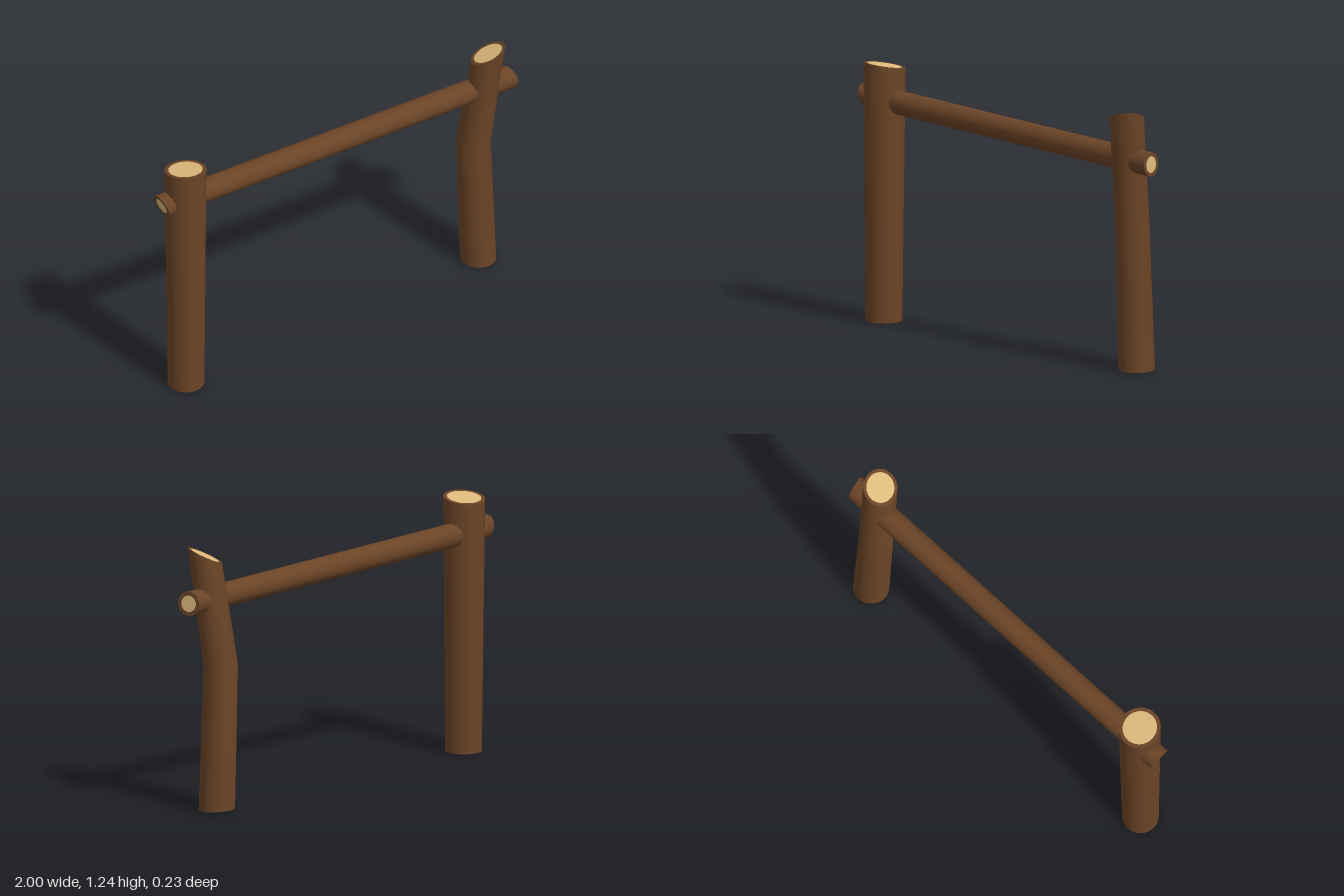
import * as THREE from 'three';

const SIDES = 40;
const bark = new THREE.MeshStandardMaterial({ color: 0x6b4426 });
const cutWood = new THREE.MeshStandardMaterial({ color: 0xdeba7c });

// A ring is { c: centre, r: radius, s: slopes of the cut plane }.
function ringPoint(ring, axis, j) {
  const t = (j / SIDES) * Math.PI * 2;
  const a = ring.r * Math.cos(t), b = ring.r * Math.sin(t);
  const [x, y, z] = ring.c, [p, q] = ring.s || [0, 0];
  return axis === 'y'
    ? [x + b, y + p * b + q * a, z + a]   // slopes along x and z
    : [x + p * a + q * b, y + a, z + b];  // slopes along y and z
}

// Skin joining successive rings
function loft(rings, axis, material, name) {
  const pos = [], index = [], n = SIDES + 1;
  rings.forEach((ring, i) => {
    for (let j = 0; j <= SIDES; j++) {
      pos.push(...ringPoint(ring, axis, j));
      if (i && j < SIDES) {
        const a = (i - 1) * n + j, b = i * n + j;
        if (rings[i - 1].r > 0) index.push(a, a + 1, b);
        if (ring.r > 0) index.push(a + 1, b + 1, b);
        else if (rings[i - 1].r > 0) continue;
      }
    }
  });
  const geo = new THREE.BufferGeometry();
  geo.setAttribute('position', new THREE.Float32BufferAttribute(pos, 3));
  geo.setIndex(index);
  geo.computeVertexNormals();
  // Share the normal across the seam
  const nor = geo.attributes.normal;
  for (let i = 0; i < rings.length; i++) {
    const a = i * n, b = a + SIDES;
    const v = new THREE.Vector3().fromBufferAttribute(nor, a)
      .add(new THREE.Vector3().fromBufferAttribute(nor, b)).normalize();
    nor.setXYZ(a, v.x, v.y, v.z);
    nor.setXYZ(b, v.x, v.y, v.z);
  }
  const mesh = new THREE.Mesh(geo, material);
  mesh.name = name;
  return mesh;
}

// Log with bark walls; a sawn end has a bark rim around a pale disc
function makeLog(name, rings, axis, sawnStart, core) {
  const log = new THREE.Group();
  log.name = name;
  log.add(loft(rings, axis, bark, name + 'Bark'));
  const addEnd = (ring, atStart, sawn, label) => {
    const inner = { ...ring, r: ring.r * core }, centre = { ...ring, r: 0 };
    const order = list => (atStart ? list.reverse() : list);
    log.add(loft(order([ring, inner]), axis, bark, label + 'Rim'));
    log.add(loft(order([inner, centre]), axis, sawn ? cutWood : bark, label + 'Face'));
  };
  addEnd(rings[0], true, sawnStart, name + 'Start');
  addEnd(rings[rings.length - 1], false, true, name + 'End');
  return log;
}

export function createModel() {
  const model = new THREE.Group();
  model.name = 'logBarrier';

  // Straight post, widening slightly towards the top
  model.add(makeLog('straightPost', [
    { c: [-0.853, 0.006, -0.006], r: 0.086 },
    { c: [-0.853, 1.218, -0.01], r: 0.098, s: [-0.05, 0.15] },
  ], 'y', false, 0.82));

  // Crooked post, bent at mid height with a slanted top
  model.add(makeLog('crookedPost', [
    { c: [0.841, 0.006, -0.032], r: 0.085, s: [-0.03, -0.05] },
    { c: [0.813, 0.69, -0.03], r: 0.081 },
    { c: [0.848, 1.208, 0.038], r: 0.08, s: [0.37, 0.28] },
  ], 'y', false, 0.82));

  // Cross rail with obliquely sawn ends
  model.add(makeLog('crossRail', [
    { c: [-0.983, 1.056, -0.02], r: 0.057, s: [-0.3, 0] },
    { c: [0.986, 1.002, 0.012], r: 0.057, s: [-0.06, 0.22] },
  ], 'x', true, 0.68));

  return model;
}
